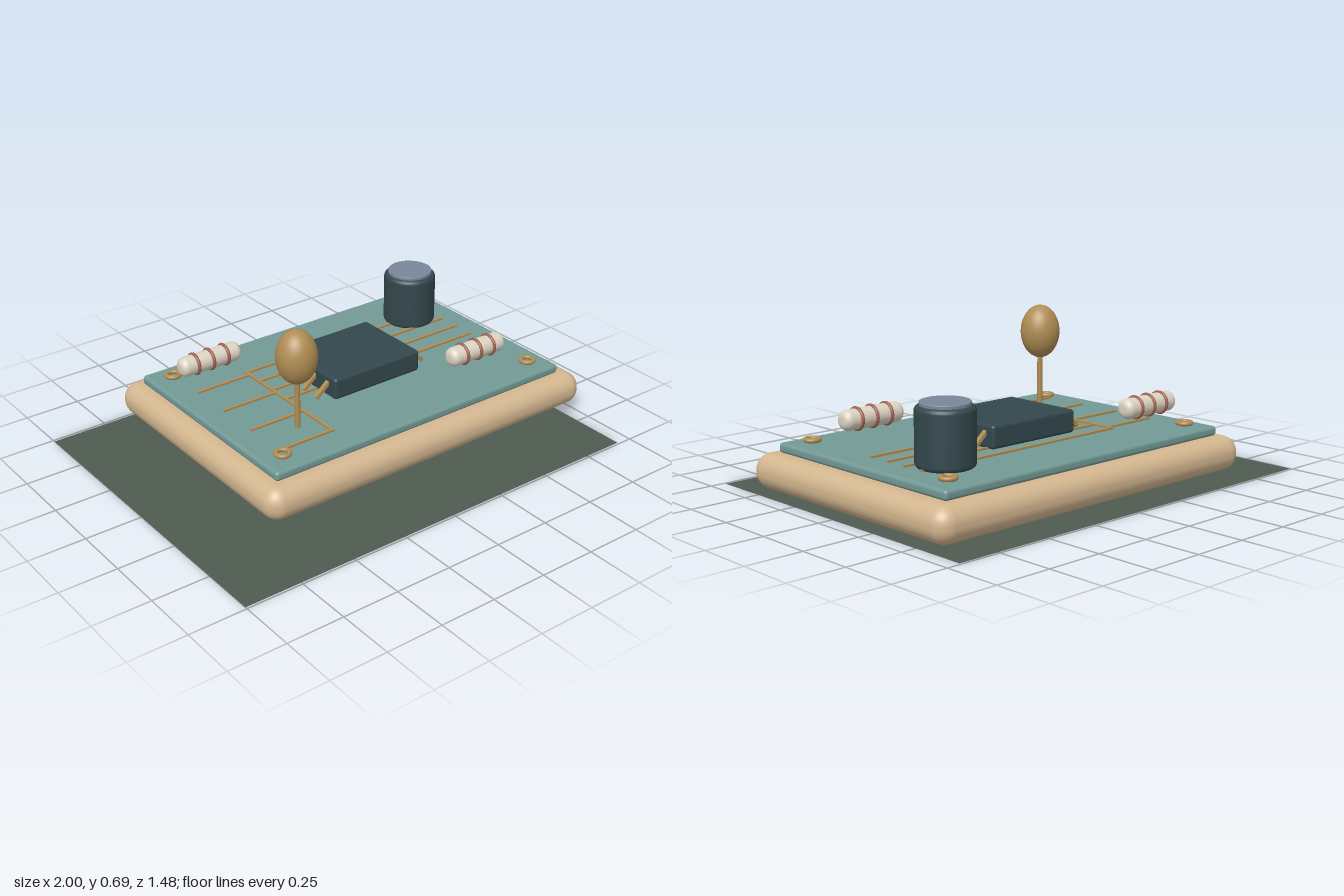
import * as THREE from 'three';
import { RoundedBoxGeometry } from 'three/addons/geometries/RoundedBoxGeometry.js';

const material = (name, color, side = THREE.FrontSide) => {
  const m = new THREE.MeshStandardMaterial({ color, side });
  m.name = name;
  return m;
};

// Lathe outline of a cylinder with rounded rims, centred on the origin
function roundedCylinder(radius, height, bevel, segments = 40) {
  const points = [new THREE.Vector2(0, -height / 2)];
  for (const end of [-1, 1]) {
    for (let i = 0; i <= 6; i++) {
      const a = end * (end < 0 ? 1 - i / 6 : i / 6) * Math.PI / 2;
      points.push(new THREE.Vector2(
        radius - bevel + bevel * Math.cos(a),
        end * (height / 2 - bevel) + bevel * Math.sin(a)));
    }
  }
  points.push(new THREE.Vector2(0, height / 2));
  return new THREE.LatheGeometry(points, segments);
}

export function createModel() {
  const model = new THREE.Group();
  model.name = 'circuitBoard';

  const tan = material('tan', 0xd3b68f);
  const teal = material('teal', 0x739a96);
  const slate = material('slate', 0x33474c);
  const brass = material('brass', 0xb08d54);
  const cream = material('cream', 0xdcd3c2);
  const rust = material('rust', 0xa0624f);
  const steel = material('steel', 0x788799);
  const moss = material('moss', 0x4f5b50, THREE.DoubleSide);

  const add = (name, geometry, mat, x = 0, y = 0, z = 0, parent = model) => {
    const mesh = new THREE.Mesh(geometry, mat);
    mesh.name = name;
    mesh.position.set(x, y, z);
    parent.add(mesh);
    return mesh;
  };

  // Flat sheet, padded base and board
  add('groundSheet', new THREE.PlaneGeometry(1.935, 1.48).rotateX(-Math.PI / 2), moss, -0.0325, 0, 0);
  add('base', new RoundedBoxGeometry(1.68, 0.148, 1.18, 8, 0.07), tan, 0.16, 0.124, -0.133);
  add('board', new RoundedBoxGeometry(1.515, 0.042, 1.02, 4, 0.015), teal, 0.155, 0.217, -0.133);

  // Chip with four slanted pins on each side
  add('chip', new RoundedBoxGeometry(0.458, 0.098, 0.375, 4, 0.014), slate, 0.156, 0.289, -0.135);
  for (const side of [-1, 1]) {
    for (let i = 0; i < 4; i++) {
      const pin = add('chipPin', new THREE.BoxGeometry(0.09, 0.015, 0.02), brass,
        0.156 + side * 0.255, 0.281, -0.004 - i * 0.09);
      pin.rotation.z = -side * 0.72;
    }
  }

  // Traces: a cross bus with branches to either side
  const trace = (x0, x1, z0, z1) => add('trace',
    new THREE.BoxGeometry(x1 - x0 + 0.012, 0.012, z1 - z0 + 0.012), brass,
    (x0 + x1) / 2, 0.241, (z0 + z1) / 2);
  trace(-0.232, -0.232, -0.382, 0.242);
  for (let i = 0; i < 4; i++) {
    const right = -0.382 + i * 0.099;
    const left = -0.358 + i * 0.2;
    trace(-0.232, 0.8, right, right);
    trace(-0.49, -0.232, left, left);
  }

  // Corner rings
  for (const x of [-0.505, 0.815]) {
    for (const z of [-0.546, 0.28]) {
      add('cornerRing', new THREE.TorusGeometry(0.028, 0.01, 12, 32).rotateX(Math.PI / 2), brass, x, 0.251, z);
    }
  }

  // Capacitor can with a raised lid
  add('capacitor', roundedCylinder(0.118, 0.24, 0.02), slate, 0.683, 0.357, -0.381);
  add('capacitorLid', roundedCylinder(0.1, 0.03, 0.004), steel, 0.683, 0.476, -0.381);

  // Oval bulb on a stem
  add('bulbStem', new THREE.CylinderGeometry(0.012, 0.012, 0.24, 16), brass, -0.343, 0.376, 0.156);
  add('bulb', new THREE.SphereGeometry(1, 40, 28).scale(0.086, 0.117, 0.086), brass, -0.343, 0.578, 0.156);

  // Resistors with three bands each
  for (const [x, z] of [[-0.38, -0.445], [0.595, 0.177]]) {
    const resistor = new THREE.Group();
    resistor.name = 'resistor';
    resistor.position.set(x, 0.331, z);
    add('resistorBody', roundedCylinder(0.043, 0.3, 0.03, 32).rotateZ(Math.PI / 2), cream, 0, 0, 0, resistor);
    for (const bx of [-0.075, 0, 0.075]) {
      add('resistorBand', new THREE.TorusGeometry(0.043, 0.008, 10, 32).rotateY(Math.PI / 2), rust, bx, 0, 0, resistor);
    }
    model.add(resistor);
  }

  return model;
}
